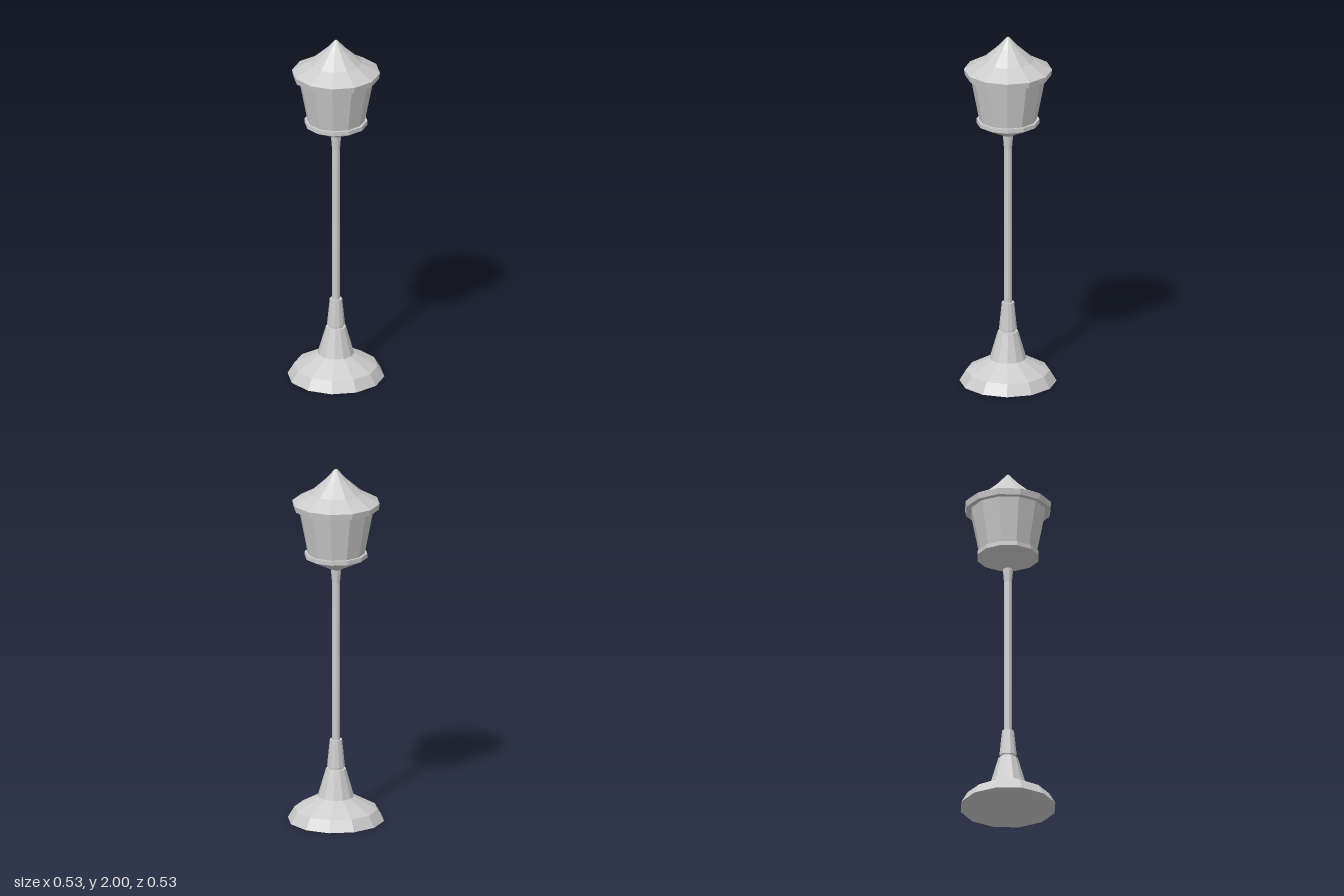
import * as THREE from 'three';

const SIDES = 12;

export function createModel() {
  const group = new THREE.Group();
  const material = new THREE.MeshStandardMaterial({
    color: 0xcccccc, flatShading: true, side: THREE.DoubleSide,
  });

  // Turns a [radius, height] profile, listed bottom to top, into a faceted part
  const turned = (name, profile) => {
    const points = profile.map(([r, y]) => new THREE.Vector2(r, y));
    const mesh = new THREE.Mesh(new THREE.LatheGeometry(points, SIDES), material);
    mesh.name = name;
    group.add(mesh);
  };

  // Foot: wide sloping plinth with a closed underside
  turned('base', [[0, 0], [0.265, 0], [0.228, 0.062], [0.1, 0.133]]);
  turned('lowerPedestal', [[0.1, 0.133], [0.055, 0.29], [0.04, 0.29]]);
  turned('pedestalNeck', [[0.04, 0.288], [0.04, 0.308]]);
  turned('upperPedestal', [[0.04, 0.306], [0.049, 0.306], [0.034, 0.456], [0.022, 0.456]]);

  // Slim post flaring under the lantern
  turned('post', [[0.022, 0.455], [0.022, 1.35], [0.029, 1.43]]);

  // Lantern: bowl, rim, tapered housing
  turned('lanternBowl', [[0, 1.428], [0.029, 1.428], [0.172, 1.499]]);
  turned('lanternRim', [[0.172, 1.499], [0.172, 1.523], [0.158, 1.523]]);
  turned('lanternHousing', [[0.158, 1.523], [0.207, 1.776]]);

  // Roof: overhanging eave and concave spire
  turned('roofEave', [[0.205, 1.776], [0.235, 1.776], [0.241, 1.81]]);
  turned('roof', [[0.241, 1.81], [0.142, 1.865], [0.056, 1.942], [0.008, 1.996], [0, 2]]);

  return group;
}
